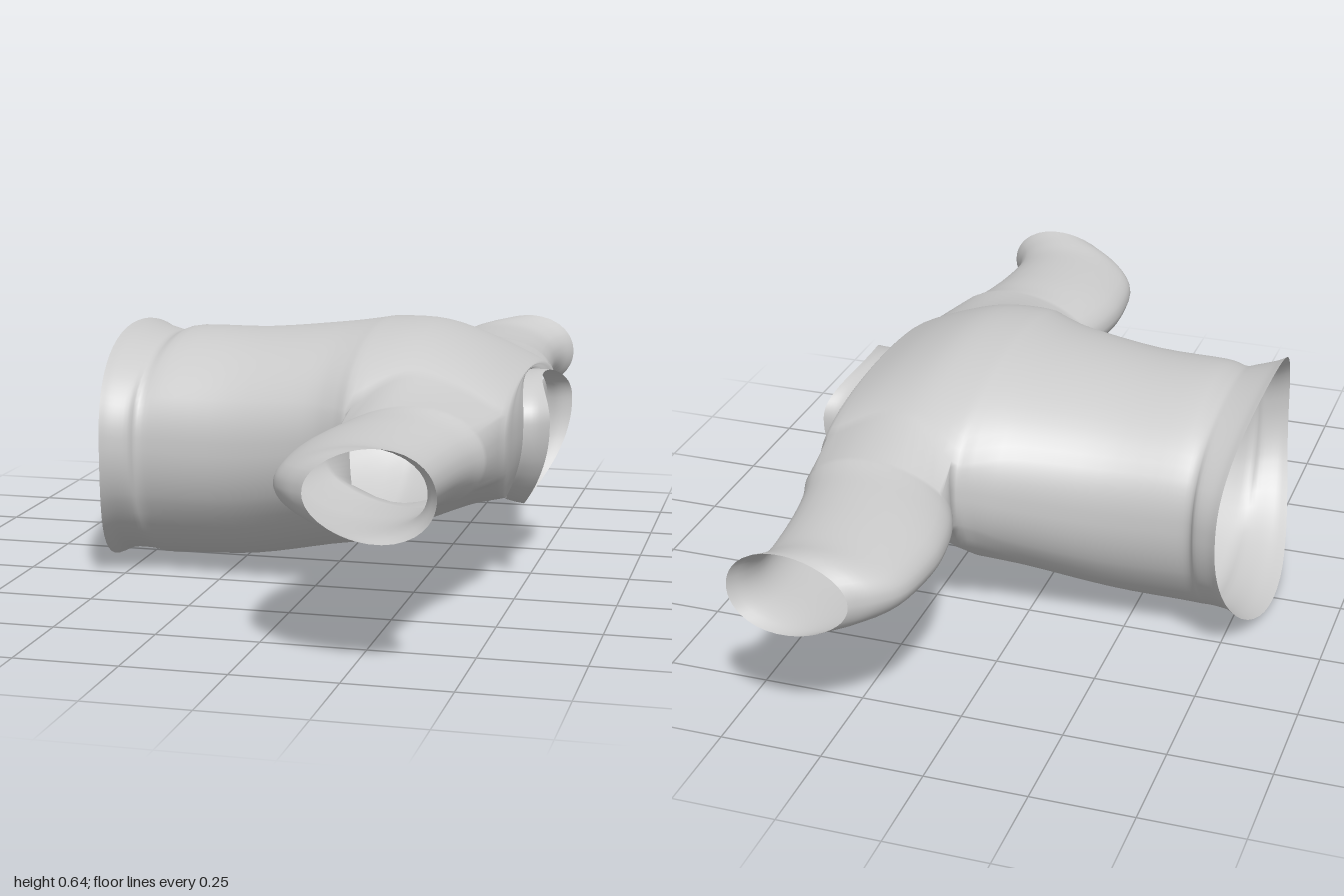
import * as THREE from 'three';

const SIDES = 64, QUARTER = 16, ARM = 6, STEPS = 4;
const rad = THREE.MathUtils.degToRad;

// Smoothly interpolated rows of numbers
function sampleRows(rows, steps) {
  const curve = new THREE.CubicInterpolant(rows.map((_, i) => i), rows.flat(), rows[0].length);
  const count = (rows.length - 1) * steps;
  return Array.from({ length: count + 1 }, (_, i) => Array.from(curve.evaluate(i / steps)));
}

// Angle of step j around the torso; the first steps of each quarter span the armhole
function angleAt(j, armAngle) {
  const turn = Math.floor(j / (2 * QUARTER)), h = j % (2 * QUARTER);
  const q = h <= QUARTER ? h : 2 * QUARTER - h;
  const a = rad(armAngle);
  const t = q <= ARM ? a * q / ARM : a + (Math.PI / 2 - a) * (q - ARM) / (QUARTER - ARM);
  return turn * Math.PI + (h <= QUARTER ? t : Math.PI - t);
}

// One ring: x, half width, top, bottom, widest height, x shift at top and bottom, armhole angle
function ring([x, w, top, bot, mid, dxTop, dxBot, arm]) {
  return Array.from({ length: SIDES }, (_, j) => {
    const t = angleAt(j, arm), s = Math.sin(t), c = Math.cos(t);
    const up = s > 0;
    const y = up ? mid + (top - mid) * Math.pow(s, 0.8) : mid + (mid - bot) * s;
    return [x + (up ? dxTop : dxBot) * s * s, y, w * c];
  });
}

function toMesh(name, points, index) {
  const geo = new THREE.BufferGeometry();
  geo.setAttribute('position', new THREE.Float32BufferAttribute(points.flat(), 3));
  geo.setIndex(index);
  geo.computeVertexNormals();
  const mesh = new THREE.Mesh(geo, new THREE.MeshStandardMaterial({ color: 0xcccccc, side: THREE.DoubleSide }));
  mesh.name = name;
  return mesh;
}

// Tube through rows, skipping the cells for which skip(i, j) is true
function tube(rows, steps, skip = () => false) {
  const rings = sampleRows(rows, steps).map(ring);
  const index = [];
  for (let i = 0; i < rings.length - 1; i++) {
    for (let j = 0; j < SIDES; j++) {
      if (skip(i, j)) continue;
      const k = (j + 1) % SIDES;
      const a = i * SIDES + j, b = a + SIDES, c = (i + 1) * SIDES + k, d = i * SIDES + k;
      index.push(a, b, c, a, c, d);
    }
  }
  return { points: rings.flat(), index };
}

const torsoRows = [
  // flared hem
  [-0.51, 0.395, 0.614, 0.003, 0.35, -0.032, -0.066, 25],
  [-0.49, 0.382, 0.602, 0.022, 0.35, -0.025, -0.04, 25],
  [-0.45, 0.362, 0.588, 0.022, 0.345, -0.01, -0.02, 25],
  [-0.432, 0.34, 0.587, 0.013, 0.345, 0, 0, 25],
  // body
  [-0.38, 0.338, 0.604, 0.015, 0.34, 0, 0, 25],
  [-0.2, 0.352, 0.606, 0.025, 0.34, 0, 0, 25],
  [0, 0.39, 0.625, 0.063, 0.365, 0, 0, 23],
  [0.085, 0.422, 0.636, 0.078, 0.39, 0, 0, 18],
  // armholes
  [0.135, 0.445, 0.642, 0.095, 0.40, 0, 0, 18],
  [0.25, 0.44, 0.637, 0.145, 0.405, 0, 0, 36],
  [0.37, 0.43, 0.594, 0.195, 0.41, 0, 0, 36],
  // shoulders closing in to the neck
  [0.482, 0.41, 0.537, 0.215, 0.41, -0.008, -0.04, 28],
  [0.501, 0.30, 0.528, 0.207, 0.41, -0.015, -0.058, 26],
  [0.506, 0.193, 0.524, 0.198, 0.41, -0.022, -0.07, 26],
];
const ARM_START = 8 * STEPS, ARM_END = 11 * STEPS;

// Sleeve rows: distance out, x range, y range
const sleeveRows = [
  [0.52, 0.098, 0.478, 0.284, 0.522],
  [0.58, 0.076, 0.458, 0.292, 0.514],
  [0.66, 0.06, 0.442, 0.298, 0.51],
  [0.75, 0.055, 0.43, 0.302, 0.506],
  [0.88, 0.07, 0.42, 0.312, 0.502],
  [0.95, 0.11, 0.43, 0.315, 0.51],
  [0.996, 0.165, 0.458, 0.312, 0.517],
];

// Torso vertices around the armhole, counter-clockwise seen from the left
function armholeLoop(side) {
  const id = (i, j) => i * SIDES + ((side > 0 ? j : SIDES / 2 - j) + SIDES) % SIDES;
  const loop = [];
  for (let i = ARM_START; i < ARM_END; i++) loop.push(id(i, -ARM));
  for (let j = -ARM; j < ARM; j++) loop.push(id(ARM_END, j));
  for (let i = ARM_END; i > ARM_START; i--) loop.push(id(i, ARM));
  for (let j = ARM; j > -ARM; j--) loop.push(id(ARM_START, j));
  return loop;
}

// Sleeve grown from the armhole out to the cuff, fuller towards the shoulder edge
function addSleeve(points, index, side) {
  let previous = armholeLoop(side);
  const angles = previous.map((v) => {
    const [x, y] = points[v];
    return Math.atan2((y - 0.402) / 0.14, (x - 0.31) / 0.175);
  });
  for (const [z, x0, x1, y0, y1] of sampleRows(sleeveRows, 4)) {
    const next = angles.map((t) => {
      const c = Math.cos(t), s = Math.sin(t);
      const x = (x0 + x1) / 2 + (x1 - x0) / 2 * c;
      const y = (y0 + y1) / 2 + (y1 - y0) / 2 * s * (1 + 0.12 * c);
      return points.push([x, y, side * z]) - 1;
    });
    for (let j = 0; j < next.length; j++) {
      const k = (j + 1) % next.length;
      const a = previous[j], b = previous[k], c = next[k], d = next[j];
      if (side > 0) index.push(a, b, c, a, c, d);
      else index.push(a, c, b, a, d, c);
    }
    previous = next;
  }
}

export function createModel() {
  const group = new THREE.Group();
  group.name = 'shirt';

  // Torso with both sleeves as one continuous cloth surface
  const inArmhole = (i, j) => {
    if (i < ARM_START || i >= ARM_END) return false;
    return (j + ARM) % (SIDES / 2) < 2 * ARM;
  };
  const body = tube(torsoRows, STEPS, inArmhole);
  addSleeve(body.points, body.index, 1);
  addSleeve(body.points, body.index, -1);
  group.add(toMesh('torsoAndSleeves', body.points, body.index));

  // Collar band standing out from the neck, dipping at front and back
  const collar = tube([
    [0.506, 0.193, 0.524, 0.198, 0.41, -0.022, -0.07, 26],
    [0.535, 0.186, 0.525, 0.192, 0.41, -0.027, -0.076, 26],
    [0.57, 0.189, 0.523, 0.188, 0.42, -0.045, -0.088, 26],
  ], 3);
  group.add(toMesh('collar', collar.points, collar.index));

  return group;
}
